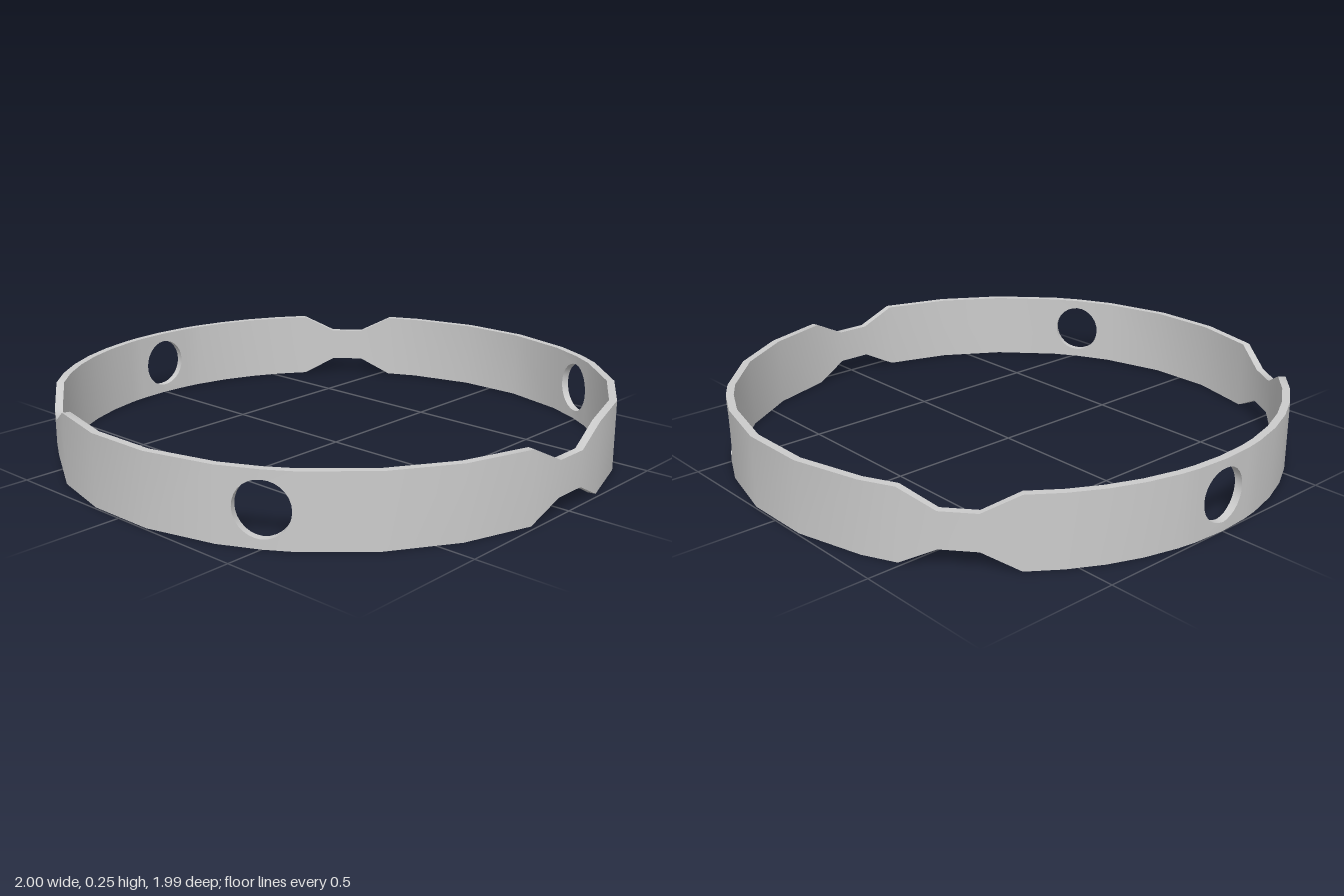
import * as THREE from 'three';
import { toCreasedNormals } from 'three/addons/utils/BufferGeometryUtils.js';

const OUTER = 1.001, INNER = 0.974, HEIGHT = 0.25, MID = HEIGHT / 2;
const HOLE_R = 0.093, HOLES = [60, 180, 300];
const NOTCHES = [0, 129.6, 237.6], NOTCH_DEPTH = 0.0625;

// How far the rim is pinched in at an angle (flat middle, sloping ends)
function pinch(angle) {
  let depth = 0;
  for (const n of NOTCHES) {
    const d = Math.abs(((angle - n + 540) % 360) - 180);
    depth = Math.max(depth, NOTCH_DEPTH * THREE.MathUtils.clamp((10.8 - d) / 7.2, 0, 1));
  }
  return depth;
}

// Half circle cut out of a panel's side; dir +1 bites the start side, -1 the end side
function bite(angle, dir) {
  const points = [], spread = THREE.MathUtils.radToDeg(HOLE_R / OUTER), n = 14;
  for (let i = 0; i <= n; i++) {
    const t = Math.PI * i / n;
    const across = i === 0 || i === n ? 0 : Math.sin(t) * spread;
    points.push(new THREE.Vector2(angle + dir * across, MID + dir * HOLE_R * Math.cos(t)));
  }
  return points;
}

// One flat panel of the band between angles a and b
function addPanel(out, a, b) {
  const outline = [new THREE.Vector2(a, pinch(a)), new THREE.Vector2(b, pinch(b))];
  if (HOLES.includes(b)) outline.push(...bite(b, -1));
  outline.push(new THREE.Vector2(b, HEIGHT - pinch(b)), new THREE.Vector2(a, HEIGHT - pinch(a)));
  if (HOLES.includes(a)) outline.push(...bite(a, 1));

  const corner = (angle, y, r) => {
    const t = THREE.MathUtils.degToRad(angle);
    return new THREE.Vector3(r * Math.cos(t), y, -r * Math.sin(t));
  };
  const place = (p, r) => corner(a, p.y, r).lerp(corner(b, p.y, r), (p.x - a) / (b - a));
  const outer = outline.map(p => place(p, OUTER));
  const inner = outline.map(p => place(p, INNER));
  const tri = (...v) => v.forEach(p => out.push(p.x, p.y, p.z));

  // Outer and inner faces
  for (const [i, j, k] of THREE.ShapeUtils.triangulateShape(outline, [])) {
    tri(outer[i], outer[j], outer[k]);
    tri(inner[i], inner[k], inner[j]);
  }
  // Rim and hole walls; sides shared with the next panel stay open
  outline.forEach((p, i) => {
    const j = (i + 1) % outline.length, q = outline[j];
    if (p.x === q.x && (p.x === a || p.x === b)) return;
    tri(outer[i], inner[i], outer[j]);
    tri(outer[j], inner[i], inner[j]);
  });
}

export function createModel() {
  const group = new THREE.Group();
  group.name = 'ring';

  // Panel corners: wide panels on the right half, narrow ones on the left
  const half = [3.6, 10.8, 25.2, 39.6, 54, 60, 68.4, 82.8, 97.2, 111.6, 118.8, 126,
    133.2, 140.4, 147.6, 154.8, 162, 169.2, 173];
  const angles = [...half, 180, ...half.map(a => 360 - a).reverse(), 363.6];

  const positions = [];
  for (let i = 0; i < angles.length - 1; i++) addPanel(positions, angles[i], angles[i + 1]);

  const geometry = new THREE.BufferGeometry();
  geometry.setAttribute('position', new THREE.Float32BufferAttribute(positions, 3));
  const band = new THREE.Mesh(toCreasedNormals(geometry, 0.5),
    new THREE.MeshStandardMaterial({ color: 0xcccccc }));
  band.name = 'notchedBand';
  group.add(band);
  return group;
}
